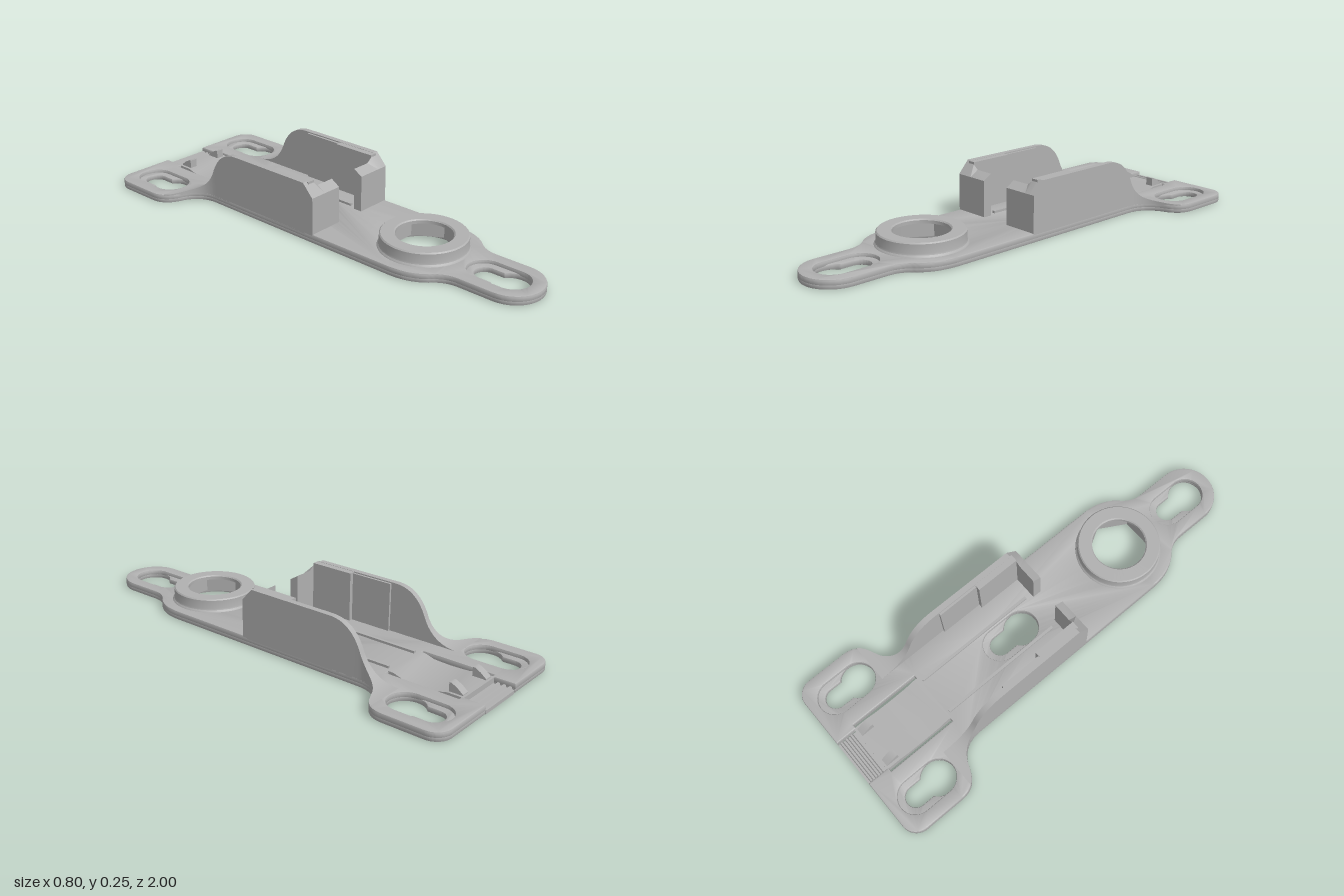
import * as THREE from 'three';
import { toCreasedNormals } from 'three/addons/utils/BufferGeometryUtils.js';

const BEVEL = 0.006;
const PI = Math.PI;

export function createModel() {
  const group = new THREE.Group();
  const grey = new THREE.MeshStandardMaterial({ color: 0xb0b0b0 });
  grey.name = 'light grey plastic';

  const add = (name, geometry, crease = 0.5) => {
    const mesh = new THREE.Mesh(toCreasedNormals(geometry, crease), grey);
    mesh.name = name;
    group.add(mesh);
    return mesh;
  };
  const box = (name, x0, x1, y0, y1, z0, z1) =>
    add(name, new THREE.BoxGeometry(x1 - x0, y1 - y0, z1 - z0)
      .translate((x0 + x1) / 2, (y0 + y1) / 2, (z0 + z1) / 2));

  // Plan shapes are drawn in (x, -z) and stand up along y
  const slab = (shape, y0, y1, bevel) => {
    const b = bevel ? BEVEL : 0;
    return new THREE.ExtrudeGeometry(shape, {
      depth: y1 - y0 - 2 * b, bevelEnabled: bevel, bevelThickness: b, bevelSize: b,
      bevelOffset: -b, bevelSegments: 2, curveSegments: 20,
    }).rotateX(-PI / 2).translate(0, y0 + b, 0);
  };
  // Side profiles are drawn in (-z, y) and run along x
  const sideExtrude = (points, x0, x1) => new THREE.ExtrudeGeometry(
    new THREE.Shape(points.map(p => new THREE.Vector2(...p))),
    { depth: x1 - x0, bevelEnabled: false }).rotateY(PI / 2).translate(x0, 0, 0);

  // Plate outline: one half, then mirrored
  const half = new THREE.Path();
  half.moveTo(0, -1);
  half.absarc(0, -0.87, 0.13, -PI / 2, 0);
  half.lineTo(0.13, -0.72);
  half.quadraticCurveTo(0.13, -0.66, 0.175, -0.62);
  half.quadraticCurveTo(0.23, -0.56, 0.23, -0.46);
  half.lineTo(0.23, 0.52);
  half.quadraticCurveTo(0.23, 0.61, 0.31, 0.645);
  half.quadraticCurveTo(0.4, 0.67, 0.4, 0.75);
  half.lineTo(0.4, 0.93);
  half.absarc(0.33, 0.93, 0.07, 0, PI / 2);
  half.lineTo(0.108, 1);
  half.lineTo(0.108, 0.9);
  half.lineTo(0.127, 0.9);
  half.lineTo(0.127, 0.58);
  const right = half.getPoints(12);
  const left = right.slice(1).reverse().map(p => new THREE.Vector2(-p.x, p.y));
  const outline = [...right, ...left];

  const SLOT = 0.115;
  const keyhole = (x, s) => {
    const a = Math.asin(0.045 / 0.075);
    const path = new THREE.Path();
    path.absarc(x, s, 0.075, PI / 2 + a, 2.5 * PI - a, false);
    path.absarc(x, s + SLOT, 0.045, 0, PI, false);
    return path;
  };
  const recess = (x, s) => {
    const path = new THREE.Path();
    path.absarc(x, s, 0.075, PI, 2 * PI, false);
    path.absarc(x, s + SLOT, 0.075, 0, PI, false);
    return path;
  };
  const circle = r => new THREE.Path().absarc(0, -0.46, r, 0, 2 * PI, false);

  // Base plate: keyholes through the lower layer, wider recesses in the upper one
  const holes = [[0, -0.87], [0, 0.1], [-0.27, 0.77], [0.27, 0.77]];
  const layer = (name, cut, y0, y1) => {
    const shape = new THREE.Shape(outline);
    shape.holes = [...holes.map(h => cut(...h)), circle(0.155)];
    add(name, slab(shape, y0, y1, true));
  };
  layer('basePlateLower', keyhole, 0, 0.024);
  layer('basePlateUpper', recess, 0.012, 0.04);

  // Round collar with a hexagonal pocket below
  add('collar', new THREE.LatheGeometry([
    [0.19, 0.036], [0.187, 0.043], [0.182, 0.048], [0.18, 0.055], [0.18, 0.092],
    [0.175, 0.097], [0.122, 0.097], [0.117, 0.092], [0.117, 0.078],
  ].map(p => new THREE.Vector2(...p)), 64).translate(0, 0, 0.46));
  const nut = new THREE.Shape().absarc(0, -0.46, 0.176, 0, 2 * PI, false);
  nut.holes.push(new THREE.Path(Array.from({ length: 6 }, (_, i) => new THREE.Vector2(
    0.135 * Math.cos(i * PI / 3), -0.46 + 0.135 * Math.sin(i * PI / 3)))));
  add('hexPocket', slab(nut, 0.022, 0.08, false));
  const lid = new THREE.Shape().absarc(0, -0.46, 0.176, 0, 2 * PI, false);
  lid.holes.push(circle(0.117));
  add('collarSeat', slab(lid, 0.08, 0.092, false));

  // Side walls: height sweeps down to the wings while the outside follows the outline
  const fall = new THREE.Path();
  fall.moveTo(0.38, 0.255);
  fall.quadraticCurveTo(0.485, 0.255, 0.53, 0.14);
  fall.quadraticCurveTo(0.575, 0.04, 0.69, 0.04);
  const neck = right.filter(p => p.y >= 0.519 && p.y <= 0.751 && p.x >= 0.229);
  const outerX = s => {
    if (s <= 0.52) return 0.23;
    const i = neck.findIndex(p => p.y > s);
    const a = neck[i - 1], b = neck[i];
    return a.x + (b.x - a.x) * (s - a.y) / (b.y - a.y);
  };
  const stations = [new THREE.Vector2(-0.07, 0.2), new THREE.Vector2(-0.02, 0.255),
    ...fall.getPoints(16)];

  const sideWall = side => {
    const pos = [], idx = [];
    stations.forEach(({ x: s, y: h }) => {
      const xo = outerX(s);
      const ring = [[0.205, 0.03], [0.205, h], [xo, h], [xo, 0.03]];
      if (side < 0) ring.reverse();
      ring.forEach(([x, y]) => pos.push(x * side, y, -s));
    });
    const n = stations.length;
    for (let i = 0; i < n - 1; i++) {
      for (let j = 0; j < 4; j++) {
        const a = i * 4 + j, b = i * 4 + (j + 1) % 4;
        idx.push(a, b, b + 4, a, b + 4, a + 4);
      }
    }
    const e = (n - 1) * 4;
    idx.push(0, 2, 1, 0, 3, 2, e, e + 1, e + 2, e, e + 2, e + 3);
    const g = new THREE.BufferGeometry();
    g.setAttribute('position', new THREE.Float32BufferAttribute(pos, 3));
    g.setIndex(idx);
    return g;
  };

  for (const side of [1, -1]) {
    const tag = side > 0 ? 'left' : 'right';
    const span = (a, b) => (side > 0 ? [a, b] : [-b, -a]);
    add(tag + 'SideWall', sideWall(side));

    // Thicker pads inside the wall
    box(tag + 'WallPad', ...span(0.195, 0.21), 0.03, 0.25, -0.36, -0.17);
    box(tag + 'WallThickPad', ...span(0.177, 0.21), 0.03, 0.254, -0.17, 0.03);

    // Front stop with a sloped top
    const stop = new THREE.ExtrudeGeometry(new THREE.Shape([
      [0.07, 0.03], [0.07, 0.225], [0.155, 0.225], [0.18, 0.255], [0.215, 0.255], [0.215, 0.03],
    ].map(([x, y]) => new THREE.Vector2(x * side, y))), { depth: 0.04, bevelEnabled: false })
      .translate(0, 0, 0.03);
    const p = stop.attributes.position;
    for (let i = 0; i < p.count; i++) {
      p.setY(i, Math.min(p.getY(i), 0.2 + (0.07 - p.getZ(i)) * 1.1));
    }
    add(tag + 'FrontStop', stop);

    // Guide rib on the floor and catch on the tongue
    box(tag + 'GuideRib', ...span(0.082, 0.094), 0.03, 0.05, -0.565, 0);
    add(tag + 'Catch', sideExtrude(
      [[0.84, 0.03], [0.9, 0.03], [0.9, 0.042], [0.875, 0.062], [0.85, 0.075], [0.84, 0.075]],
      ...span(0.065, 0.1)));
  }

  // Flexible tongue: dished middle and ridged end
  add('tongue', sideExtrude([[0.57, 0], [0.91, 0], [0.91, 0.038], [0.84, 0.038],
    [0.8, 0.028], [0.72, 0.024], [0.64, 0.028], [0.6, 0.04], [0.57, 0.04]], -0.112, 0.112));
  const ridges = [0.925, 0.95, 0.975].flatMap(s =>
    [[s, 0.015], [s + 0.004, 0.026], [s + 0.012, 0.026], [s + 0.016, 0.015]]);
  add('tongueGrip', sideExtrude(
    [[1, 0], [0.905, 0], [0.905, 0.015], ...ridges, [1, 0.015]], -0.103, 0.103));

  return group;
}
